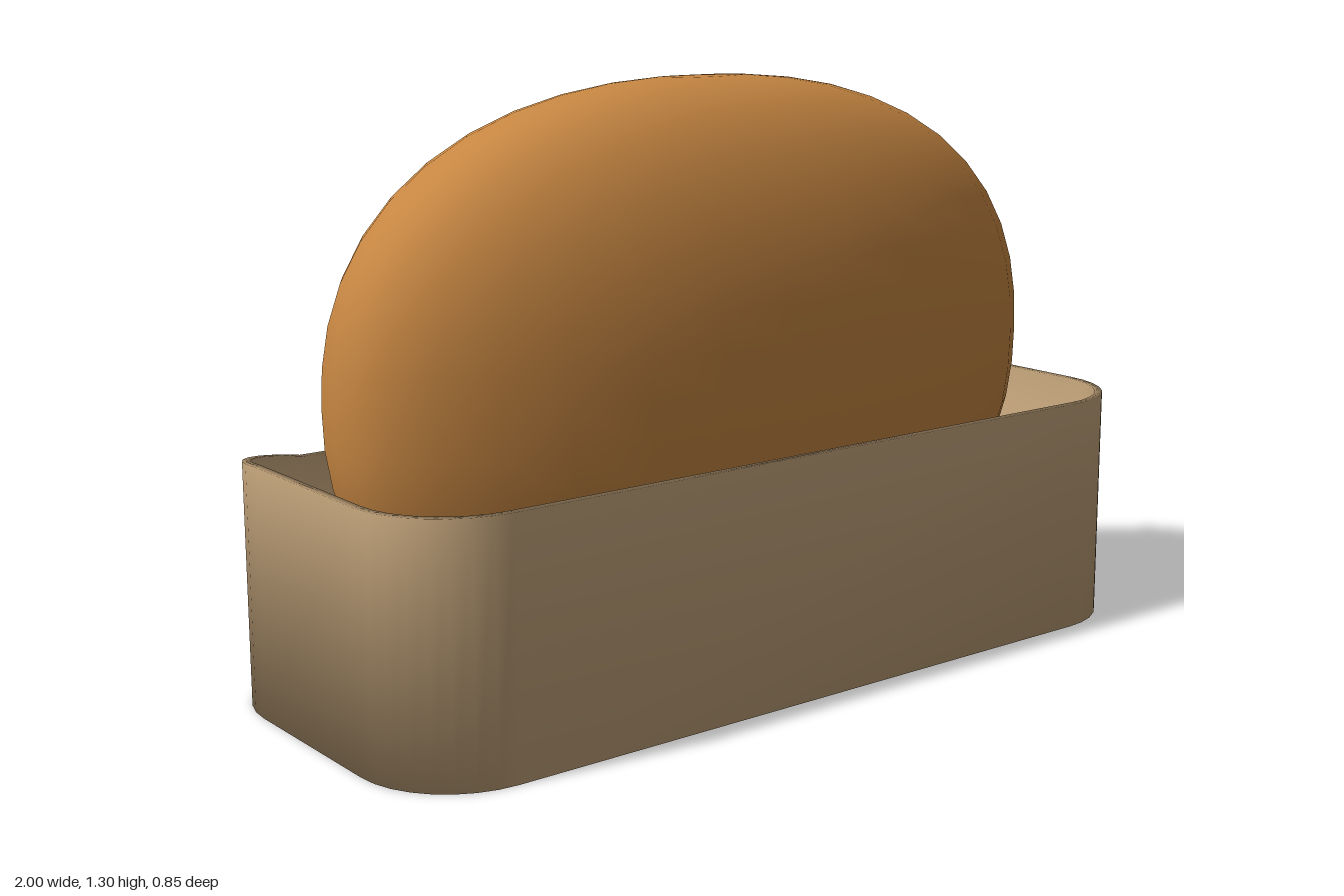
import * as THREE from 'three';

const tan = new THREE.MeshStandardMaterial({ color: 0xc8a87e });
tan.name = 'trayTan';
const brown = new THREE.MeshStandardMaterial({ color: 0xc68642 });
brown.name = 'breadCrust';

const HALF_X = 1, HALF_Z = 0.425, RADIUS = 0.22, STEPS = 8;
const RIM = 0.54, BACK_DROP = 0.05;

// Rounded rectangle, counter-clockwise seen from below; f is how far a point is round to the low back edge
function outline(inset) {
  const r = RADIUS - inset, points = [];
  for (let corner = 0; corner < 4; corner++) {
    const cx = (corner === 0 || corner === 3 ? 1 : -1) * (HALF_X - RADIUS);
    const cz = (corner < 2 ? 1 : -1) * (HALF_Z - RADIUS);
    for (let i = 0; i <= STEPS; i++) {
      const t = i / STEPS, a = (corner + t) * Math.PI / 2;
      const f = corner < 2 ? 0 : Math.pow(corner === 2 ? t : 1 - t, 1.3);
      points.push({ x: cx + r * Math.cos(a), z: cz + r * Math.sin(a), f });
    }
  }
  return points;
}

// Thin-walled tray: rings run from the underside up, over the rim and down to the inner floor
function trayGeometry() {
  const rings = [
    { inset: 0, y: 0, drop: 0 },
    { inset: 0, y: RIM, drop: BACK_DROP },
    { inset: 0.018, y: RIM, drop: BACK_DROP },
    { inset: 0.018, y: 0.02, drop: 0 },
  ];
  const n = 4 * (STEPS + 1), pos = [], index = [];
  for (const ring of rings)
    for (const p of outline(ring.inset)) pos.push(p.x, ring.y - ring.drop * p.f, p.z);
  const under = rings.length * n, floor = under + 1, last = (rings.length - 1) * n;
  pos.push(0, 0, 0, 0, 0.02, 0);
  for (let i = 0; i < n; i++) {
    const j = (i + 1) % n;
    for (let r = 0; r < rings.length - 1; r++) {
      const a = r * n + i, b = r * n + j;
      index.push(a, a + n, b, b, a + n, b + n);
    }
    index.push(under, i, j, floor, last + j, last + i);
  }
  const g = new THREE.BufferGeometry();
  g.setAttribute('position', new THREE.Float32BufferAttribute(pos, 3));
  g.setIndex(index);
  g.computeVertexNormals();
  return g;
}

// Loaf: a sphere swollen into a slightly boxy ellipsoid, normals taken from its equation
function loafGeometry() {
  const g = new THREE.SphereGeometry(1, 32, 24);
  const pos = g.attributes.position, normal = g.attributes.normal;
  const size = new THREE.Vector3(0.925, 0.635, 0.32), P = 2.3;
  const v = new THREE.Vector3(), m = new THREE.Vector3();
  const grad = (c, s) => Math.sign(c) * Math.pow(Math.abs(c), P - 1) / s;
  for (let i = 0; i < pos.count; i++) {
    v.fromBufferAttribute(pos, i);
    const k = Math.abs(v.x) ** P + Math.abs(v.y) ** P + Math.abs(v.z) ** P;
    v.multiplyScalar(Math.pow(k, -1 / P));
    m.set(grad(v.x, size.x), grad(v.y, size.y), grad(v.z, size.z)).normalize();
    v.multiply(size);
    pos.setXYZ(i, v.x, v.y, v.z);
    normal.setXYZ(i, m.x, m.y, m.z);
  }
  return g;
}

export function createModel() {
  const group = new THREE.Group();
  group.name = 'breadInTray';

  const tray = new THREE.Mesh(trayGeometry(), tan);
  tray.name = 'tray';

  const loaf = new THREE.Mesh(loafGeometry(), brown);
  loaf.name = 'loaf';
  loaf.position.y = 0.67;

  group.add(tray, loaf);
  return group;
}
